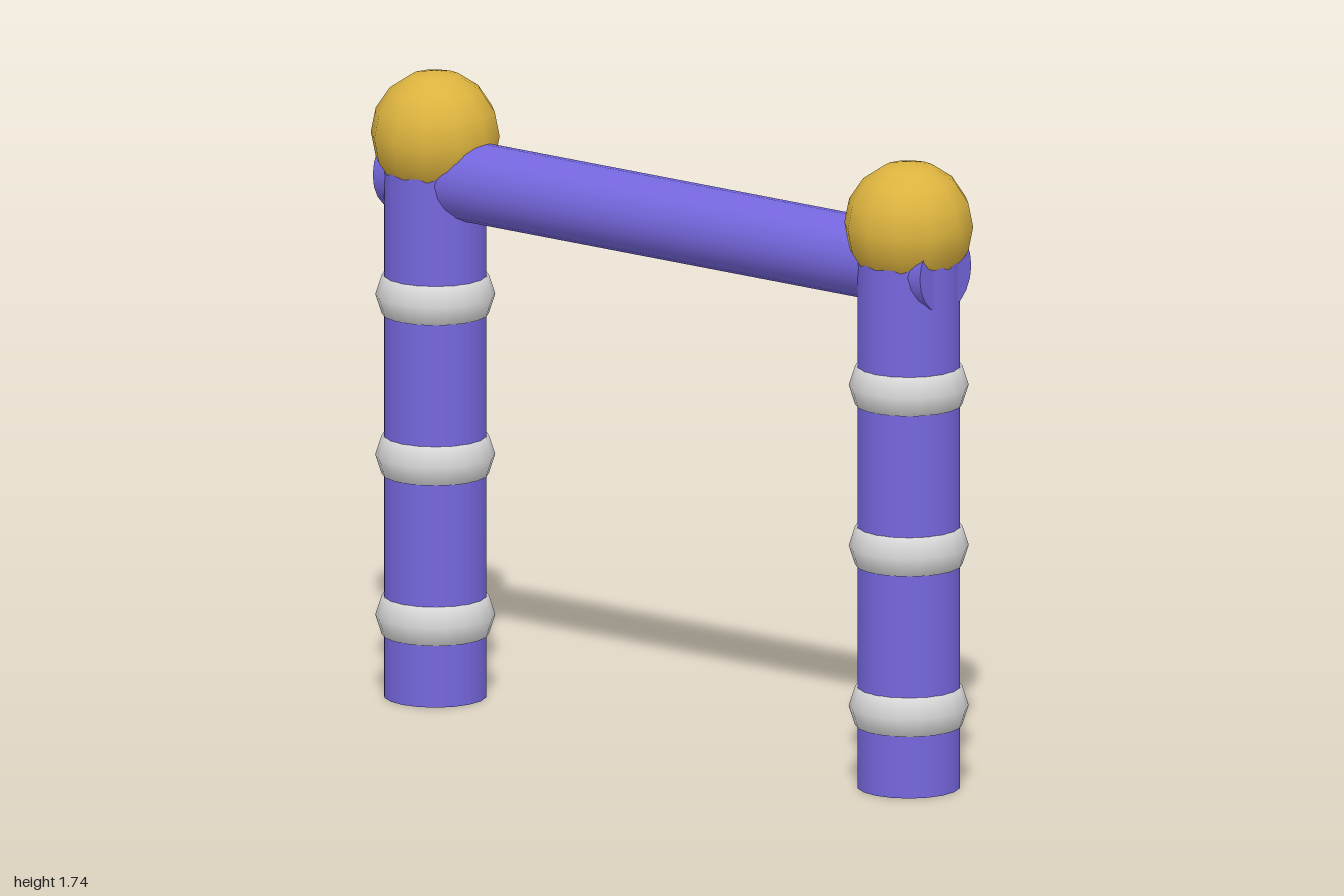
import * as THREE from 'three';

const material = (name, color) => {
  const m = new THREE.MeshStandardMaterial({ color });
  m.name = name;
  return m;
};

export function createModel() {
  const purple = material('purple paint', 0x7567de);
  const gold = material('gold', 0xdcb33f);
  const white = material('pale grey', 0xdadada);

  const model = new THREE.Group();
  model.name = 'gateway';

  const add = (parent, name, geometry, mat, x, y) => {
    const mesh = new THREE.Mesh(geometry, mat);
    mesh.name = name;
    mesh.position.set(x, y, 0);
    parent.add(mesh);
    return mesh;
  };

  const postX = 0.822;
  const postHeight = 1.55;
  const postGeometry = new THREE.CylinderGeometry(0.14, 0.14, postHeight, 18);
  const ballGeometry = new THREE.SphereGeometry(0.176, 12, 8);

  // Rounded band wrapped around a post
  const bandProfile = [
    [0.125, -0.056], [0.145, -0.053], [0.162, 0], [0.145, 0.053], [0.125, 0.056],
  ].map(([r, y]) => new THREE.Vector2(r, y));
  const bandGeometry = new THREE.LatheGeometry(bandProfile, 18).rotateY(Math.PI / 2);

  // Two posts, each with three bands and a ball on top
  for (const side of [-1, 1]) {
    const post = new THREE.Group();
    post.name = side > 0 ? 'leftPost' : 'rightPost';
    post.position.x = side * postX;
    add(post, 'postShaft', postGeometry, purple, 0, postHeight / 2);
    for (const y of [0.225, 0.67, 1.115]) add(post, 'band', bandGeometry, white, 0, y);
    add(post, 'ball', ballGeometry, gold, 0, 1.559);
    model.add(post);
  }

  // Crossbar, its ends just breaking through the outer sides of the posts
  const bar = new THREE.CylinderGeometry(0.11, 0.11, 1.9, 20).rotateZ(Math.PI / 2);
  add(model, 'crossbar', bar, purple, 0, 1.446);

  return model;
}
